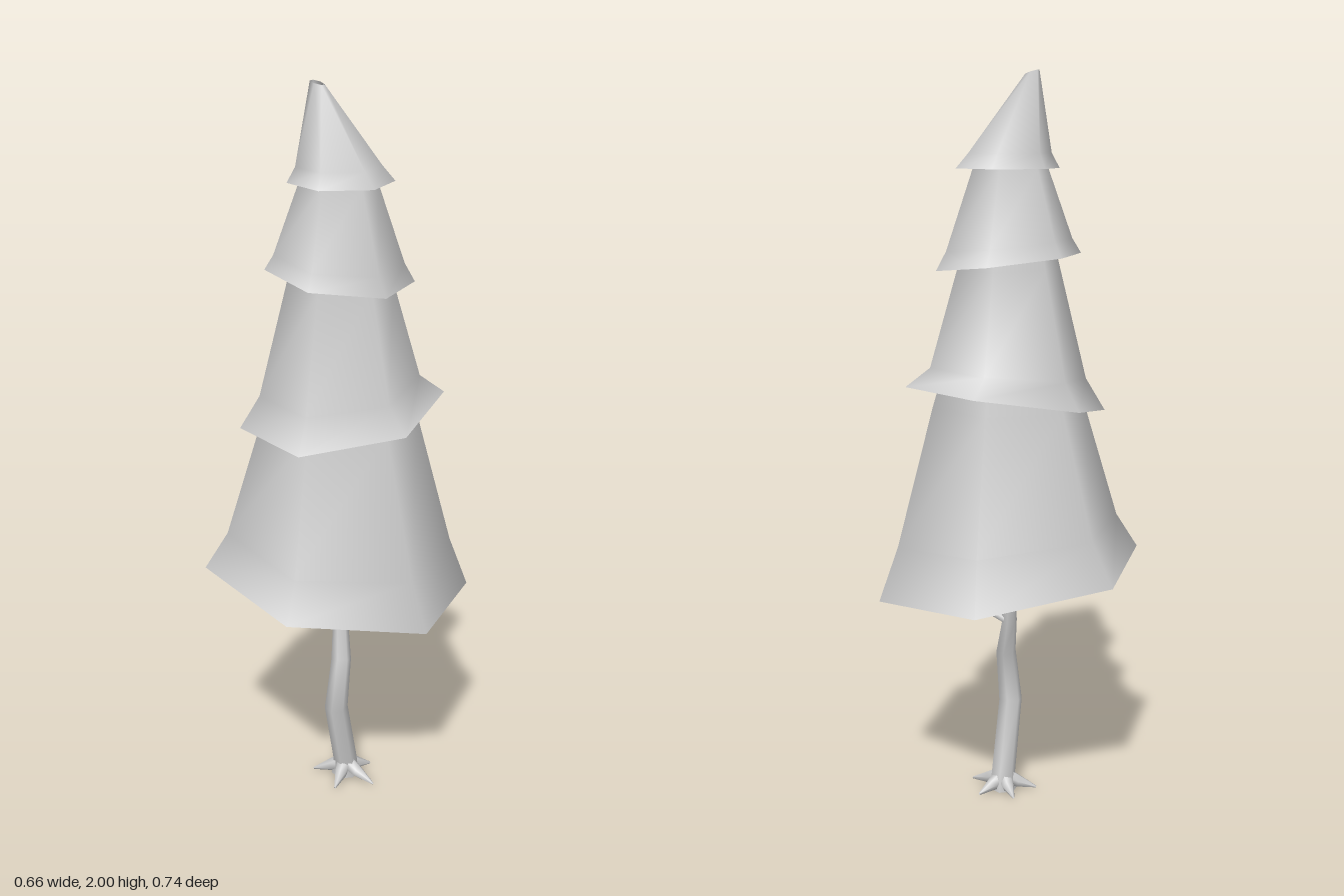
import * as THREE from 'three';

const material = new THREE.MeshStandardMaterial({ color: 0xcccccc, side: THREE.DoubleSide });

// Skin a stack of closed rings (arrays of Vector3, bottom to top) with smooth normals
function loft(name, rings) {
  const n = rings[0].length;
  const positions = rings.flat().flatMap((p) => p.toArray());
  const index = [];
  for (let i = 0; i < rings.length - 1; i++) {
    for (let j = 0; j < n; j++) {
      const a = i * n + j, b = i * n + (j + 1) % n;
      index.push(a, b, b + n, a, b + n, a + n);
    }
  }
  const geometry = new THREE.BufferGeometry();
  geometry.setAttribute('position', new THREE.Float32BufferAttribute(positions, 3));
  geometry.setIndex(index);
  geometry.computeVertexNormals();
  const mesh = new THREE.Mesh(geometry, material);
  mesh.name = name;
  return mesh;
}

// Hexagon with corners on the z axis; sx and sz tilt it, turn twists it
function hexRing({ x = 0, y, z = 0, r, sx = 0, sz = 0, turn = 0 }) {
  return Array.from({ length: 6 }, (_, j) => {
    const a = j * Math.PI / 3 + turn;
    const dx = r * Math.sin(a), dz = r * Math.cos(a);
    return new THREE.Vector3(x + dx, y + sx * dx + sz * dz, z + dz);
  });
}

// Tapered limb through points [x, y, z, radius]
function limb(name, points, sides = 6) {
  const centres = points.map((p) => new THREE.Vector3(p[0], p[1], p[2]));
  const up = new THREE.Vector3(0, 1, 0);
  const rings = centres.map((c, i) => {
    const before = centres[Math.max(i - 1, 0)];
    const after = centres[Math.min(i + 1, centres.length - 1)];
    const q = new THREE.Quaternion().setFromUnitVectors(up, after.clone().sub(before).normalize());
    return Array.from({ length: sides }, (_, j) => {
      const a = j * 2 * Math.PI / sides;
      return new THREE.Vector3(Math.sin(a), 0, Math.cos(a))
        .multiplyScalar(points[i][3]).applyQuaternion(q).add(c);
    });
  });
  return loft(name, rings);
}

export function createModel() {
  const tree = new THREE.Group();
  tree.name = 'tree';

  // Foliage: open hexagonal skirts, each flaring at its tilted hem
  const foliage = new THREE.Group();
  foliage.name = 'foliage';
  const tiers = [
    [
      { y: 0.642, r: 0.372, sx: -0.13, sz: 0.05, turn: 0.05 },
      { x: 0.005, y: 0.765, r: 0.312, sx: -0.1, turn: 0.03 },
      { x: 0.005, y: 1.12, r: 0.21 },
      { x: 0.005, y: 1.22, r: 0.18 },
    ],
    [
      { x: 0.01, y: 1.135, z: -0.005, r: 0.277, sx: 0.09, sz: -0.15 },
      { x: 0.005, y: 1.205, r: 0.216, sx: 0.06, sz: -0.1 },
      { x: 0.005, y: 1.49, r: 0.14 },
      { x: 0.005, y: 1.57, r: 0.12 },
    ],
    [
      { x: 0.003, y: 1.505, z: -0.005, r: 0.198, sx: -0.12 },
      { x: 0.003, y: 1.55, r: 0.172, sx: -0.1 },
      { y: 1.75, r: 0.102 },
      { y: 1.8, r: 0.085 },
    ],
    [
      { x: 0.006, y: 1.75, z: -0.005, r: 0.14 },
      { y: 1.79, z: -0.004, r: 0.112 },
      { x: -0.06, y: 1.995, z: -0.005, r: 0.019, sx: -0.3 },
    ],
  ];
  tiers.forEach((rings, i) => foliage.add(loft(`foliageTier${i + 1}`, rings.map(hexRing))));
  tree.add(foliage);

  // Crooked trunk
  tree.add(limb('trunk', [
    [0.02, 0, -0.005, 0.04], [0.02, 0.05, -0.005, 0.034], [0.016, 0.25, 0.05, 0.033],
    [0.025, 0.4, 0.035, 0.028], [-0.003, 0.51, -0.022, 0.021], [-0.005, 0.68, -0.025, 0.018],
    [0, 0.95, -0.01, 0.001],
  ]));

  // Thin branches under the skirt
  tree.add(limb('leftBranch', [
    [0, 0.51, -0.025, 0.012], [0.07, 0.548, -0.035, 0.01],
    [0.105, 0.59, -0.035, 0.007], [0.13, 0.65, -0.04, 0.001],
  ], 5));
  tree.add(limb('leftTwig', [[0.05, 0.54, -0.032, 0.007], [0.085, 0.542, -0.03, 0.001]], 5));
  tree.add(limb('rightBranch', [
    [-0.005, 0.59, -0.025, 0.012], [-0.01, 0.63, 0.03, 0.009], [-0.025, 0.72, 0.05, 0.001],
  ], 5));

  // Roots splayed around the foot: tip x, tip z
  const rootTips = [[-0.07, 0.02], [0.03, 0.09], [0.122, 0.025], [0.07, -0.075], [-0.03, -0.07]];
  rootTips.forEach(([x, z], i) => {
    const mid = (t, c) => c + (t - c) * 0.45;
    tree.add(limb(`root${i + 1}`, [
      [0.02, 0.04, -0.005, 0.024], [mid(x, 0.02), 0.02, mid(z, -0.005), 0.018], [x, 0.003, z, 0.003],
    ]));
  });

  return tree;
}
